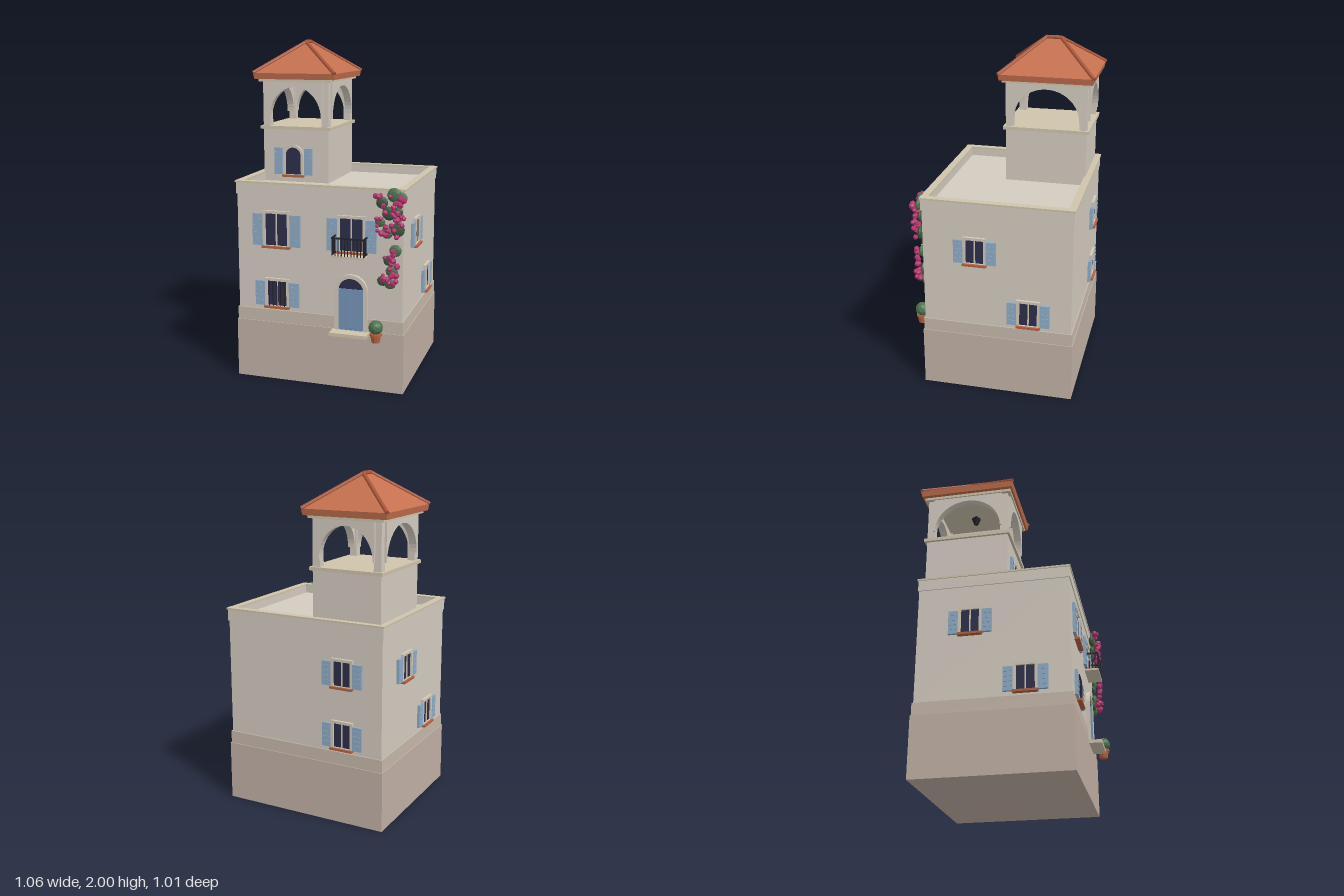
import * as THREE from 'three';
import { ConvexGeometry } from 'three/addons/geometries/ConvexGeometry.js';

const mat = (color, extra = {}) => {
  const m = new THREE.MeshStandardMaterial({ flatShading: true, ...extra });
  m.color.set(color);
  return m;
};
const M = {
  wall: mat(0xd3cbc0), base: mat(0xc1b0a5), plinth: mat(0xc6b8aa), trim: mat(0xcfc3ac), frame: mat(0xd2c8b8),
  roof: mat(0xc4704f), tile: mat(0xa8553a), sill: mat(0xb5623f), glass: mat(0x2d2d4a), door: mat(0x7594b8),
  shutter: mat(0x8fabc6), iron: mat(0x22222a), leaf: mat(0x4f7350), darkLeaf: mat(0x3c5a40), flower: mat(0xb8336f),
};

function add(parent, name, geo, material, x = 0, y = 0, z = 0) {
  const m = new THREE.Mesh(geo, material);
  m.name = name;
  m.position.set(x, y, z);
  parent.add(m);
  return m;
}
// Box given by centre x/z and bottom/top y
const box = (p, name, material, x, z, w, d, y0, y1) =>
  add(p, name, new THREE.BoxGeometry(w, y1 - y0, d), material, x, (y0 + y1) / 2, z);

const rect = (P, hx, y0, y1) => new P([[-hx, y0], [hx, y0], [hx, y1], [-hx, y1]].map(a => new THREE.Vector2(...a)));
// Upright opening with a round head
function archShape(P, r, y0, spring) {
  const s = new P();
  s.moveTo(-r, y0).lineTo(r, y0).lineTo(r, spring);
  s.absarc(0, spring, r, 0, Math.PI, false);
  s.lineTo(-r, y0);
  return s;
}
const extrude = (shape, depth) =>
  new THREE.ExtrudeGeometry(shape, { depth, bevelEnabled: false, curveSegments: 12 });

// Horizontal rectangular ring
function ring(p, name, material, z, hx, hz, border, y0, y1) {
  const s = rect(THREE.Shape, hx, -hz, hz);
  s.holes.push(rect(THREE.Path, hx - border, -hz + border, hz - border));
  const m = add(p, name, extrude(s, y1 - y0), material, 0, y0, z);
  m.rotation.x = -Math.PI / 2;
}

// Window on a wall plane: local z = 0 is the wall, local y = 0 the bottom of the glass
function makeWindow(p, name, x, y, z, turn, { w, h, sw, bars = false, arched = false, sill = true, gap = 0.016 }) {
  const g = new THREE.Group();
  g.name = name;
  g.position.set(x, y, z);
  g.rotation.y = turn;
  p.add(g);
  const r = w / 2, b = 0.016;
  const frame = arched ? archShape(THREE.Shape, r + b, 0, h - r) : rect(THREE.Shape, r + b, 0, h + b);
  frame.holes.push(arched ? archShape(THREE.Path, r, 0.002, h - r) : rect(THREE.Path, r, 0.002, h));
  add(g, 'windowFrame', extrude(frame, 0.016), M.frame);
  add(g, 'glass', extrude(arched ? archShape(THREE.Shape, r, 0, h - r) : rect(THREE.Shape, r, 0, h), 0.006), M.glass);
  if (!arched) box(g, 'mullion', M.frame, 0, 0.006, 0.008, 0.01, 0, h);
  if (bars) for (let i = -2; i <= 2; i++)
    add(g, 'bar', new THREE.CylinderGeometry(0.003, 0.003, h, 6), M.iron, i * w / 5, h / 2, 0.016);
  if (sill) box(g, 'sill', M.sill, 0, 0.014, w + 0.036, 0.03, -0.013, 0);
  for (const s of [-1, 1]) {
    const cx = s * (r + gap + sw / 2);
    box(g, 'shutter', M.shutter, cx, 0.008, sw, 0.016, 0, h - 0.004);
    for (let i = 1; i <= 4; i++)
      box(g, 'shutterSlat', M.shutter, cx, 0.017, sw * 0.8, 0.004, h * i / 5 - 0.004, h * i / 5 + 0.004);
  }
}

function rod(p, name, a, b, radius, material) {
  const d = b.clone().sub(a);
  const m = add(p, name, new THREE.CylinderGeometry(radius, radius, d.length(), 8), material);
  m.position.copy(a).addScaledVector(d, 0.5);
  m.quaternion.setFromUnitVectors(new THREE.Vector3(0, 1, 0), d.normalize());
}

function makeTower(house) {
  const t = new THREE.Group();
  t.name = 'bellTower';
  t.position.set(-0.265, 0, -0.205);
  house.add(t);
  const hx = 0.21, hz = 0.245;
  box(t, 'towerWalls', M.wall, 0, 0, hx * 2, hz * 2, 1.1, 1.462);
  box(t, 'towerCornice', M.trim, 0, 0, 0.45, 0.52, 1.462, 1.482);
  makeWindow(t, 'towerWindow', -0.015, 1.185, hz, 0, { w: 0.1, h: 0.168, sw: 0.05, arched: true, gap: 0.022 });
  // Corner posts
  for (const sx of [-1, 1]) for (const sz of [-1, 1])
    box(t, 'post', M.wall, sx * (hx - 0.0225), sz * (hz - 0.0225), 0.045, 0.045, 1.482, 1.75);
  // Arched panels between the posts
  const arch = half => {
    const s = new THREE.Shape();
    s.moveTo(half + 0.008, 1.53).lineTo(half + 0.008, 1.75).lineTo(-half - 0.008, 1.75).lineTo(-half - 0.008, 1.53);
    s.lineTo(-half, 1.53);
    s.absellipse(0, 1.53, half, 0.19, Math.PI, 0, true);
    return extrude(s, 0.045);
  };
  for (let i = 0; i < 4; i++) {
    const g = new THREE.Group();
    g.name = 'belfryArch';
    g.rotation.y = i * Math.PI / 2;
    t.add(g);
    add(g, 'archPanel', arch(i % 2 ? hz - 0.045 : hx - 0.045), M.wall, 0, 0, (i % 2 ? hx : hz) - 0.033);
  }
  box(t, 'belfryCeiling', M.trim, 0, 0, 0.46, 0.53, 1.75, 1.768);
  add(t, 'bell', new THREE.CylinderGeometry(0.028, 0.012, 0.04, 10), M.iron, 0, 1.708, 0);
  add(t, 'bellHanger', new THREE.CylinderGeometry(0.006, 0.006, 0.03, 6), M.iron, 0, 1.738, 0);
  // Hipped roof
  const pts = [];
  for (const sx of [-1, 1]) for (const sz of [-1, 1])
    pts.push(new THREE.Vector3(sx * 0.253, 1.766, sz * 0.278), new THREE.Vector3(sx * 0.259, 1.802, sz * 0.284));
  const ridge = [-1, 1].map(s => new THREE.Vector3(0, 1.985, s * 0.045));
  add(t, 'roof', new ConvexGeometry([...pts, ...ridge]), M.roof);
  rod(t, 'ridgeTile', ridge[0], ridge[1], 0.013, M.tile);
  for (const sx of [-1, 1]) for (const sz of [-1, 1])
    rod(t, 'hipTile', new THREE.Vector3(sx * 0.258, 1.803, sz * 0.283), ridge[sz < 0 ? 0 : 1], 0.012, M.tile);
}

function makeDoor(house) {
  const d = new THREE.Group();
  d.name = 'frontDoor';
  d.position.set(0.2, 0, 0.4);
  house.add(d);
  const surround = archShape(THREE.Shape, 0.098, 0.355, 0.59);
  surround.holes.push(archShape(THREE.Path, 0.075, 0.356, 0.59));
  add(d, 'doorSurround', extrude(surround, 0.022), M.frame);
  add(d, 'fanlight', extrude(archShape(THREE.Shape, 0.075, 0.36, 0.59), 0.012), M.glass);
  for (const s of [-1, 1]) box(d, 'doorLeaf', M.door, s * 0.0375, 0.009, 0.073, 0.018, 0.355, 0.602);
  box(d, 'doorStep', M.trim, 0, 0.044, 0.222, 0.088, 0.335, 0.355);
}

function makeBalcony(house) {
  const b = new THREE.Group();
  b.name = 'balcony';
  b.position.set(0.2, 0, 0.4);
  house.add(b);
  box(b, 'balconySlab', M.trim, 0, 0.042, 0.2, 0.084, 0.798, 0.81);
  const bar = (x, z) => box(b, 'baluster', M.iron, x, z, 0.005, 0.005, 0.81, 0.915);
  for (let i = 0; i <= 10; i++) bar(-0.093 + i * 0.0186, 0.08);
  for (const s of [-1, 1]) {
    for (let i = 0; i < 4; i++) bar(s * 0.093, 0.012 + i * 0.018);
    box(b, 'sideRail', M.iron, s * 0.093, 0.041, 0.007, 0.082, 0.908, 0.917);
  }
  box(b, 'frontRail', M.iron, 0, 0.08, 0.193, 0.007, 0.908, 0.917);
}

function makePlants(house) {
  let seed = 7;
  const rnd = () => (seed = (seed * 16807) % 2147483647) / 2147483647;
  const vine = new THREE.Group();
  vine.name = 'floweringVine';
  house.add(vine);
  // Leaf clumps: x, y, radius
  [[0.45, 1.165, 0.042], [0.38, 1.12, 0.035], [0.49, 1.15, 0.035], [0.42, 1.06, 0.04], [0.37, 1.01, 0.03],
    [0.47, 0.97, 0.042], [0.41, 0.95, 0.035], [0.47, 1.07, 0.03], [0.46, 0.85, 0.036], [0.42, 0.79, 0.03],
    [0.44, 0.73, 0.036], [0.385, 0.67, 0.03], [0.43, 0.66, 0.036]].forEach(([x, y, r], i) => {
    const m = add(vine, 'leafClump', new THREE.IcosahedronGeometry(r, 1), i % 2 ? M.darkLeaf : M.leaf, x, y, 0.418);
    m.scale.set(1, 1, 0.45);
    m.rotation.z = rnd() * 3;
  });
  // Blossoms, thinning out downwards
  for (let i = 0; i < 64; i++) {
    const upper = i < 42;
    const y = upper ? 0.93 + rnd() * 0.25 : 0.66 + rnd() * 0.22;
    const x = upper ? 0.43 + (rnd() - 0.5) * 0.165 : 0.435 + (rnd() - 0.5) * 0.09;
    const m = add(vine, 'blossom', new THREE.IcosahedronGeometry(0.012 + rnd() * 0.008, 0), M.flower,
      x, y, 0.44 + rnd() * 0.016);
    m.rotation.set(rnd() * 3, rnd() * 3, 0);
  }
  // Potted shrub beside the door
  const pot = new THREE.Group();
  pot.name = 'flowerPot';
  pot.position.set(0.363, 0, 0.468);
  house.add(pot);
  add(pot, 'potBody', new THREE.CylinderGeometry(0.031, 0.024, 0.045, 12), M.sill, 0, 0.3425, 0);
  add(pot, 'potRim', new THREE.CylinderGeometry(0.036, 0.036, 0.014, 12), M.sill, 0, 0.367, 0);
  add(pot, 'shrub', new THREE.IcosahedronGeometry(0.042, 1), M.leaf, 0, 0.408, 0);
}

export function createModel() {
  const house = new THREE.Group();
  house.name = 'villa';
  const cz = -0.0375;
  // Main block
  box(house, 'base', M.base, 0, cz, 1.024, 0.9, 0, 0.355);
  box(house, 'plinth', M.plinth, 0, cz, 1.014, 0.89, 0.355, 0.43);
  box(house, 'walls', M.wall, 0, cz, 1, 0.875, 0.43, 1.14);
  ring(house, 'parapet', M.wall, cz, 0.506, 0.443, 0.038, 1.12, 1.186);
  ring(house, 'parapetCap', M.trim, cz, 0.511, 0.448, 0.043, 1.186, 1.197);
  // Front windows
  const tall = { w: 0.135, h: 0.192, sw: 0.063 };
  makeWindow(house, 'frontUpperLeftWindow', 0.2, 0.822, 0.4, 0, { ...tall, sill: true });
  makeWindow(house, 'frontUpperRightWindow', -0.255, 0.822, 0.4, 0, tall);
  makeWindow(house, 'frontLowerWindow', -0.255, 0.457, 0.4, 0, { w: 0.118, h: 0.152, sw: 0.06, bars: true });
  // Side and back windows: x, y, z, turn
  const small = { w: 0.105, h: 0.145, sw: 0.056 }, q = Math.PI / 2;
  [[0.5, 0.822, 0.09, q], [0.5, 0.457, -0.225, q], [-0.5, 0.822, -0.165, -q], [-0.5, 0.457, 0.15, -q],
    [-0.255, 0.822, -0.475, 2 * q], [-0.255, 0.457, -0.475, 2 * q]]
    .forEach(([x, y, z, turn]) => makeWindow(house, 'sideWindow', x, y, z, turn, small));
  makeTower(house);
  makeDoor(house);
  makeBalcony(house);
  makePlants(house);
  return house;
}
